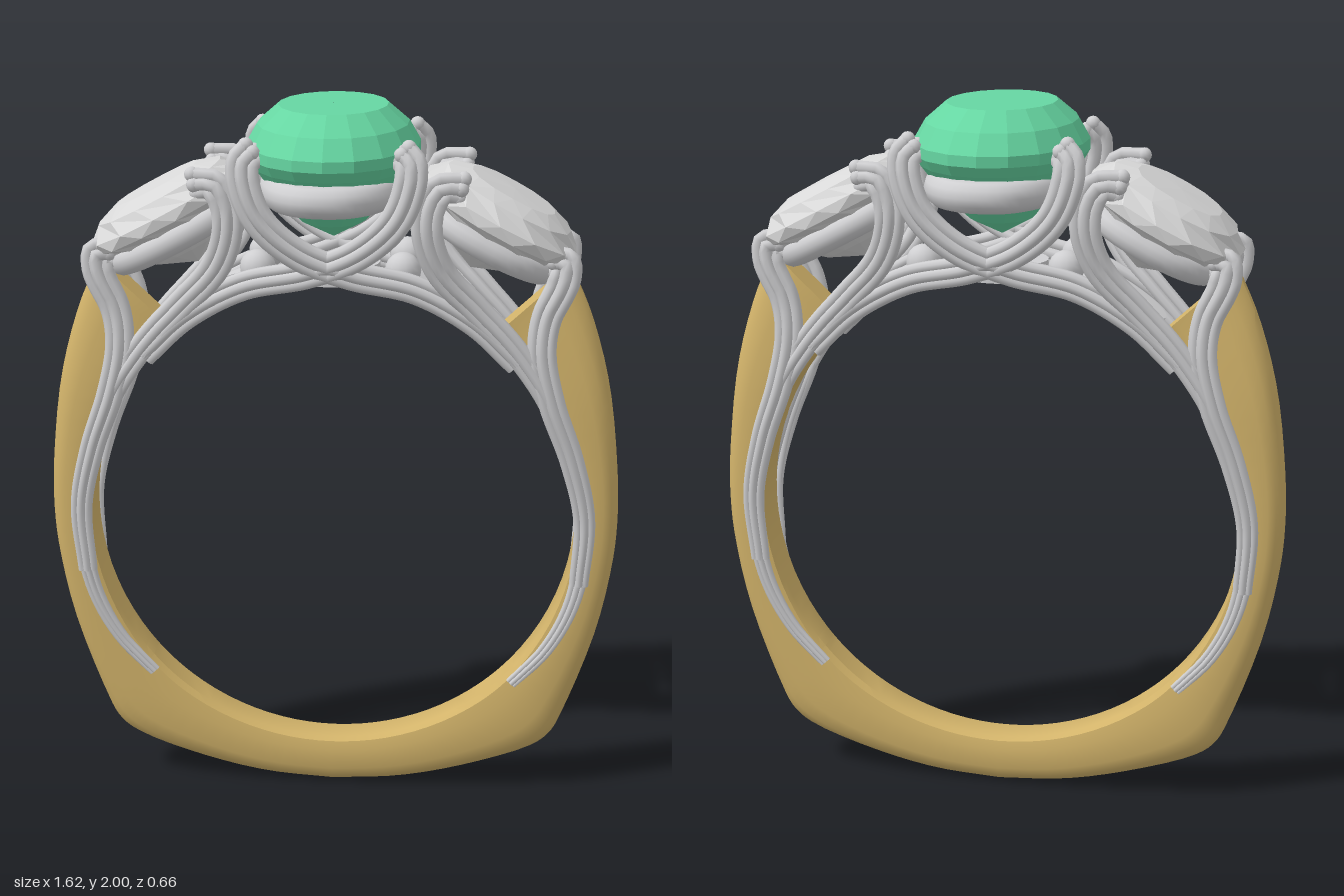
import * as THREE from 'three';
import { toCreasedNormals } from 'three/addons/utils/BufferGeometryUtils.js';

const V = (x, y, z) => new THREE.Vector3(x, y, z);
const mat = (name, color) => {
  const m = new THREE.MeshStandardMaterial({ color });
  m.name = name;
  return m;
};

// Shank: cross-sections swept from one shoulder, under the finger, to the other
function shankGeometry() {
  const CY = 0.83, R = 0.69, N = 44;
  // outer x, outer y, degrees from the bottom of the matching inner point
  const half = [[0, 0, 0], [0.2, 0.015, 12], [0.4, 0.06, 25], [0.58, 0.125, 38], [0.635, 0.17, 44],
    [0.67, 0.24, 50], [0.755, 0.48, 64], [0.8, 0.7, 80], [0.81, 0.83, 90], [0.805, 0.98, 102],
    [0.775, 1.22, 118], [0.72, 1.42, 131], [0.66, 1.56, 140]];
  const curve = new THREE.CatmullRomCurve3(half.map(([x, y, a]) => V(x, y, THREE.MathUtils.degToRad(a))));
  // depth from inner to outer face, half width
  const side = [[1, 0.02], [0.95, 0.042], [0.84, 0.06], [0.66, 0.07], [0.25, 0.07], [0.06, 0.063], [0, 0.045]];
  const section = [...side, ...side.map(([s, w]) => [s, -w]).reverse()];
  const rings = [];
  for (let i = -N; i <= N; i++) {
    const t = Math.abs(i) / N, sx = i < 0 ? -1 : 1;
    const o = curve.getPoint(t);
    const ix = R * Math.sin(o.z), iy = CY - R * Math.cos(o.z);
    const narrow = 1 - 0.3 * THREE.MathUtils.smoothstep(t, 0.8, 1);
    rings.push(section.map(([s, w]) => V(sx * (ix + (o.x - ix) * s), iy + (o.y - iy) * s, w * narrow)));
  }
  // closed ends
  const cap = (ring) => {
    const c = ring.reduce((a, p) => a.add(p), V(0, 0, 0)).divideScalar(ring.length);
    return ring.map(() => c);
  };
  rings.unshift(cap(rings[0]));
  rings.push(cap(rings[rings.length - 1]));
  const n = section.length, idx = [];
  for (let i = 0; i < rings.length - 1; i++) {
    for (let k = 0; k < n; k++) {
      const a = i * n + k, b = a + n, c = i * n + (k + 1) % n, d = c + n;
      idx.push(a, b, c, b, d, c);
    }
  }
  const g = new THREE.BufferGeometry().setFromPoints(rings.flat());
  g.setIndex(idx);
  return toCreasedNormals(g, 0.6);
}

// Faceted stone: rows of [radius, height] from the point up to the table
function gemGeometry(rows, sides, rx, rz, power, twist) {
  const g = new THREE.LatheGeometry(rows.map(([r, y]) => new THREE.Vector2(r, y)), sides);
  const p = g.attributes.position;
  for (let i = 0; i < p.count; i++) {
    const r = Math.hypot(p.getX(i), p.getZ(i));
    if (r < 1e-5) continue;
    const a = Math.atan2(p.getZ(i), p.getX(i)) + (twist && (i % rows.length) % 2 ? Math.PI / sides : 0);
    const c = Math.cos(a), s = Math.sin(a);
    const f = r * Math.pow(Math.abs(c) ** power + Math.abs(s) ** power, -1 / power);
    p.setX(i, c * f * rx);
    p.setZ(i, s * f * rz);
  }
  const flat = g.toNonIndexed();
  flat.computeVertexNormals();
  return flat;
}

// Closed oval rail lying flat
function railGeometry(rx, rz, tube, power) {
  const pts = [];
  for (let i = 0; i < 32; i++) {
    const a = i / 32 * Math.PI * 2, c = Math.cos(a), s = Math.sin(a);
    const f = Math.pow(Math.abs(c) ** power + Math.abs(s) ** power, -1 / power);
    pts.push(V(c * f * rx, 0, s * f * rz));
  }
  return new THREE.TubeGeometry(new THREE.CatmullRomCurve3(pts, true), 64, tube, 12, true);
}

// Wire that thins from its tip to `end` times its radius
function wireGeometry(pts, radius, end) {
  const curve = new THREE.CatmullRomCurve3(pts), seg = 56, rad = 8;
  const g = new THREE.TubeGeometry(curve, seg, radius, rad);
  const p = g.attributes.position, v = V(0, 0, 0);
  for (let i = 0; i <= seg; i++) {
    const c = curve.getPointAt(i / seg), k = 1 + (end - 1) * i / seg;
    for (let j = 0; j <= rad; j++) {
      const q = i * (rad + 1) + j;
      v.fromBufferAttribute(p, q).sub(c).multiplyScalar(k).add(c);
      p.setXYZ(q, v.x, v.y, v.z);
    }
  }
  return g;
}

export function createModel() {
  const gold = mat('yellow gold', 0xd2b36a);
  const white = mat('white metal', 0xcfcfd1);
  const green = mat('green stone', 0x66d6a2);
  const clear = mat('clear stone', 0xd8d8d8);
  const model = new THREE.Group();
  model.name = 'threeStoneRing';
  const add = (name, geo, material, parent = model) => {
    const m = new THREE.Mesh(geo, material);
    m.name = name;
    parent.add(m);
    return m;
  };

  add('shank', shankGeometry(), gold);

  // Centre stone and the rail under it
  const centreRows = [[0.001, 1.63], [0.38, 1.68], [0.7, 1.76], [0.93, 1.835], [1, 1.865], [1, 1.895],
    [0.87, 1.95], [0.63, 2], [0.001, 2]];
  add('centreStone', gemGeometry(centreRows, 18, 0.24, 0.325, 2, false), green);
  add('centreRail', railGeometry(0.155, 0.285, 0.045, 2.4), white).position.y = 1.78;

  // Tilted side stones with their rails
  const sideRows = [[0.001, -0.17], [0.45, -0.12], [0.85, -0.045], [1, -0.015], [1, 0.015],
    [0.82, 0.055], [0.55, 0.078], [0.001, 0.082]];
  for (const sx of [1, -1]) {
    const setting = new THREE.Group();
    setting.name = sx > 0 ? 'leftSideSetting' : 'rightSideSetting';
    setting.position.set(sx * 0.46, 1.7, 0);
    setting.rotation.z = -sx * 0.49;
    add('sideStone', gemGeometry(sideRows, 14, 0.235, 0.235, 2.35, true), clear, setting);
    add('sideRail', railGeometry(0.185, 0.19, 0.036, 2.3), white, setting).position.y = -0.065;
    model.add(setting);
  }

  // Wire bundles: tip first, given for the +x +z quarter
  const bundles = [
    { name: 'centreProng', end: 0.8, path: [[0.2, 1.895, 0.19], [0.225, 1.87, 0.205], [0.22, 1.8, 0.215],
      [0.18, 1.71, 0.215], [0.08, 1.62, 0.2], [-0.06, 1.56, 0.175], [-0.24, 1.515, 0.15],
      [-0.4, 1.425, 0.14], [-0.52, 1.31, 0.13]] },
    { name: 'innerSideProng', end: 0.4, path: [[0.36, 1.805, 0.185], [0.32, 1.815, 0.195], [0.28, 1.77, 0.2],
      [0.27, 1.68, 0.2], [0.31, 1.57, 0.18], [0.4, 1.47, 0.155], [0.51, 1.35, 0.14], [0.61, 1.2, 0.13],
      [0.685, 1, 0.105], [0.715, 0.8, 0.09], [0.69, 0.6, 0.078], [0.62, 0.45, 0.07], [0.52, 0.335, 0.062]] },
    { name: 'outerSideProng', end: 0.6, path: [[0.61, 1.595, 0.115], [0.645, 1.59, 0.125], [0.635, 1.53, 0.13],
      [0.595, 1.44, 0.13], [0.585, 1.34, 0.135], [0.615, 1.2, 0.132], [0.675, 1.03, 0.115],
      [0.715, 0.85, 0.095], [0.705, 0.65, 0.08]] },
  ];
  const strands = [[-0.027, 0], [0, 0.01], [0.027, 0], [0, -0.03]]; // sideways, depth
  for (const { name, path, end } of bundles) {
    for (const sx of [1, -1]) for (const sz of [1, -1]) {
      const group = new THREE.Group();
      group.name = name;
      const curve = new THREE.CatmullRomCurve3(path.map(([x, y, z]) => V(x * sx, y, z * sz)));
      for (const [off, dz] of strands) {
        const pts = [];
        for (let i = 0; i <= 28; i++) {
          const t = i / 28, w = 1 + (end - 1) * t, d = curve.getTangentAt(t);
          const side = V(-d.y, d.x, 0).normalize();
          pts.push(curve.getPointAt(t).addScaledVector(side, off * w).add(V(0, 0, dz * w * sz)));
        }
        add('wire', wireGeometry(pts, 0.019, end), white, group);
        add('wireTip', new THREE.SphereGeometry(0.021, 10, 8), white, group).position.copy(pts[0]);
      }
      model.add(group);
    }
  }

  // Open oval washers along the underside of the setting
  const shape = new THREE.Shape().absellipse(0, 0, 0.13, 0.115, 0, Math.PI * 2);
  shape.holes.push(new THREE.Path().absellipse(0, 0, 0.085, 0.07, 0, Math.PI * 2));
  const washer = new THREE.ExtrudeGeometry(shape, { depth: 0.05, bevelEnabled: false, curveSegments: 28 });
  washer.rotateX(-Math.PI / 2);
  for (const a of [-0.49, 0, 0.49]) {
    const m = add('galleryWasher', washer, white);
    m.position.set(0.69 * Math.sin(a), 0.82 + 0.69 * Math.cos(a), 0);
    m.rotation.z = -a;
  }

  // Beads between the settings
  for (const sx of [1, -1]) for (const sz of [1, -1]) {
    add('galleryBead', new THREE.SphereGeometry(0.05, 14, 10), white).position.set(sx * 0.2, 1.56, sz * 0.1);
  }
  return model;
}
